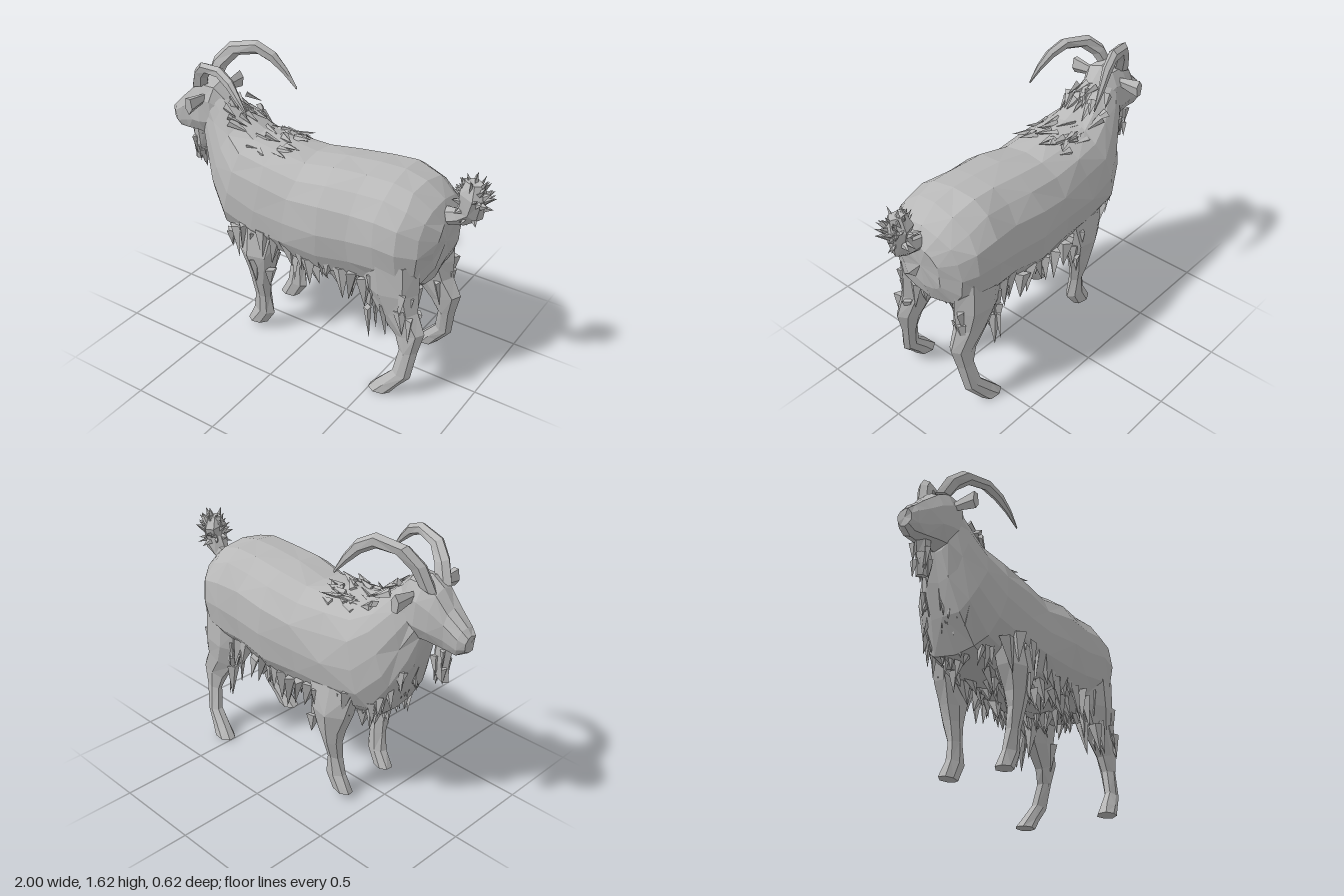
import * as THREE from 'three';
import { mergeGeometries } from 'three/addons/utils/BufferGeometryUtils.js';

export function createModel() {
  const goat = new THREE.Group();
  goat.name = 'goat';
  const coat = new THREE.MeshStandardMaterial({ color: 0xb8b8b8, flatShading: true });
  coat.name = 'grey coat';

  let seed = 7;
  const rnd = () => (seed = (seed * 16807) % 2147483647) / 2147483647;
  const span = (a, b) => a + (b - a) * rnd();
  const V = (x, y, z) => new THREE.Vector3(x, y, z);

  function add(name, geometry) {
    const mesh = new THREE.Mesh(geometry, coat);
    mesh.name = name;
    goat.add(mesh);
    return mesh;
  }

  // Skin over rings; a ring is [x1, y1, x2, y2, halfWidth, z] : two opposite points and a width in z
  function loft(rings, sides, jitter = 0, power = 1) {
    const pos = [], idx = [];
    const round = t => Math.sign(t) * Math.abs(t) ** power;
    for (const [x1, y1, x2, y2, w, z = 0] of rings) {
      for (let j = 0; j < sides; j++) {
        const a = j / sides * Math.PI * 2, c = round(Math.cos(a)) / 2, s = round(Math.sin(a));
        pos.push((x1 + x2) / 2 + (x1 - x2) * c + span(-jitter, jitter),
          (y1 + y2) / 2 + (y1 - y2) * c + span(-jitter, jitter) * 0.6,
          z + w * s + span(-jitter, jitter) * 0.6);
      }
    }
    const n = rings.length;
    for (let i = 0; i < n - 1; i++) {
      for (let j = 0; j < sides; j++) {
        const k = (j + 1) % sides, a = i * sides + j, b = i * sides + k, c = a + sides, d = b + sides;
        if ((i + j) % 2) idx.push(a, b, c, b, d, c);
        else idx.push(a, b, d, a, d, c);
      }
    }
    // End caps
    for (const [ring, flip] of [[0, true], [n - 1, false]]) {
      const [x1, y1, x2, y2, , z = 0] = rings[ring], m = pos.length / 3;
      pos.push((x1 + x2) / 2, (y1 + y2) / 2, z);
      for (let j = 0; j < sides; j++) {
        const a = ring * sides + j, b = ring * sides + (j + 1) % sides;
        if (flip) idx.push(m, b, a); else idx.push(m, a, b);
      }
    }
    const g = new THREE.BufferGeometry();
    g.setAttribute('position', new THREE.Float32BufferAttribute(pos, 3));
    g.setIndex(idx);
    g.computeVertexNormals();
    return g;
  }

  // One pointed lock of hair, growing from p along d
  function lock(p, d, length, width) {
    const g = new THREE.ConeGeometry(width, length, 4, 1);
    g.scale(1, 1, 0.55);
    g.rotateY(span(0, Math.PI));
    g.translate(0, length * 0.4, 0);
    g.applyQuaternion(new THREE.Quaternion().setFromUnitVectors(V(0, 1, 0), d.clone().normalize()));
    return g.translate(p.x, p.y, p.z);
  }
  const fur = (name, count, make) => add(name, mergeGeometries(Array.from({ length: count }, (_, i) => make(i))));

  // Neck and trunk
  add('body', loft([
    [-0.68, 1.41, -0.75, 1.07, 0.1], [-0.58, 1.34, -0.71, 0.92, 0.14],
    [-0.48, 1.24, -0.65, 0.75, 0.2], [-0.37, 1.195, -0.55, 0.58, 0.255],
    [-0.2, 1.18, -0.33, 0.53, 0.272], [-0.02, 1.165, -0.1, 0.53, 0.285],
    [0.18, 1.2, 0.14, 0.53, 0.305], [0.36, 1.215, 0.34, 0.56, 0.295],
    [0.52, 1.225, 0.5, 0.59, 0.308], [0.64, 1.185, 0.63, 0.6, 0.295],
    [0.73, 1.11, 0.71, 0.64, 0.24], [0.785, 1.02, 0.745, 0.74, 0.14],
  ], 16, 0.012, 0.85));

  // Head, nose to nape
  add('head', loft([
    [-0.995, 1.19, -0.985, 1.1, 0.04], [-0.97, 1.225, -0.94, 1.07, 0.06],
    [-0.89, 1.3, -0.87, 1.07, 0.075], [-0.82, 1.38, -0.79, 1.08, 0.105],
    [-0.75, 1.425, -0.73, 1.08, 0.12], [-0.66, 1.42, -0.66, 1.1, 0.115],
    [-0.58, 1.34, -0.6, 1.12, 0.08],
  ], 10, 0.006, 0.85));

  // Horns sweeping up, back and outward; the left one sits a little lower
  for (const side of [1, -1]) {
    const k = side > 0 ? 0.8 : 1, h = y => 1.4 + (y - 1.4) * k;
    add(side > 0 ? 'leftHorn' : 'rightHorn', loft([
      [-0.82, 1.36, -0.71, 1.39, 0.035, 0.055], [-0.77, 1.5, -0.685, 1.46, 0.036, 0.085],
      [-0.69, 1.59, -0.63, 1.525, 0.034, 0.125], [-0.53, 1.62, -0.53, 1.54, 0.03, 0.165],
      [-0.43, 1.565, -0.46, 1.5, 0.026, 0.19], [-0.365, 1.475, -0.395, 1.44, 0.016, 0.21],
      [-0.31, 1.375, -0.315, 1.36, 0.003, 0.222],
    ].map(([a, b, c, d, w, z]) => [a, h(b), c, h(d), w, z * side]), 6));

    // Ears, narrow at the root and broad at the end
    const ear = new THREE.CylinderGeometry(0.052, 0.022, 0.15, 5);
    ear.scale(0.5, 1, 1);
    ear.rotateX(side * Math.PI / 2);
    add(side > 0 ? 'leftEar' : 'rightEar', ear).position.set(-0.71, 1.33, side * 0.15);

    // Front legs, shoulder to hoof
    add(side > 0 ? 'leftFrontLeg' : 'rightFrontLeg', loft([
      [-0.1, 0.72, -0.46, 0.72, 0.07, 0.185], [-0.15, 0.55, -0.41, 0.55, 0.085, 0.195],
      [-0.19, 0.43, -0.36, 0.43, 0.062, 0.195], [-0.215, 0.35, -0.335, 0.35, 0.05, 0.19],
      [-0.235, 0.24, -0.325, 0.24, 0.038, 0.175], [-0.22, 0.12, -0.345, 0.13, 0.04, 0.165],
      [-0.27, 0.03, -0.4, 0.03, 0.044, 0.165],
    ].map(r => [...r.slice(0, 5), r[5] * side]), 7, 0.007));

    // Hind legs, thigh to hoof
    add(side > 0 ? 'leftHindLeg' : 'rightHindLeg', loft([
      [0.73, 0.82, 0.38, 0.8, 0.1, 0.19], [0.73, 0.64, 0.42, 0.62, 0.1, 0.19],
      [0.73, 0.53, 0.5, 0.48, 0.07, 0.195], [0.775, 0.42, 0.61, 0.36, 0.05, 0.2],
      [0.745, 0.29, 0.645, 0.28, 0.04, 0.21], [0.725, 0.13, 0.62, 0.15, 0.038, 0.235],
      [0.66, 0.05, 0.54, 0.06, 0.044, 0.25], [0.62, 0, 0.49, 0, 0.052, 0.26],
    ].map(r => [...r.slice(0, 5), r[5] * side]), 7, 0.005));

    const tag = side > 0 ? 'left' : 'right';
    // Hair above the knees and hocks, and along the flanks
    fur(tag + 'ElbowFur', 8, () => lock(V(span(-0.36, -0.17), span(0.46, 0.56), side * span(0.14, 0.26)),
      V(span(-0.2, 0.3), -1, side * 0.1), span(0.1, 0.15), 0.04));
    fur(tag + 'ThighFur', 16, i => lock(V(i < 8 ? span(0.44, 0.55) : span(0.64, 0.72), span(0.48, 0.68), side * span(0.13, 0.26)),
      V(span(-0.1, 0.2), -1, side * 0.1), span(0.13, 0.2), 0.038));
    fur(tag + 'FlankFur', 14, i => lock(V(-0.42 + i * 0.07, span(0.62, 0.72), side * span(0.22, 0.25)),
      V(span(-0.2, 0.3), -1, side * 0.08), span(0.14, 0.2), 0.05));
  }

  // Ragged fringes below the trunk
  fur('bellyFur', 60, () => lock(V(span(-0.45, 0.36), span(0.55, 0.6), span(-0.2, 0.2)),
    V(span(-0.2, 0.7), -1, span(-0.3, 0.3)), span(0.1, 0.15), 0.045));
  fur('groinFur', 16, () => lock(V(span(0.4, 0.7), span(0.6, 0.68), span(-0.13, 0.13)),
    V(span(-0.2, 0.2), -1, span(-0.2, 0.2)), span(0.1, 0.15), 0.04));
  fur('chestFur', 34, () => {
    const t = rnd();
    return lock(V(-0.68 + t * 0.2, 0.92 - t * 0.35, span(-0.1, 0.1) * (1 + t)),
      V(span(-0.3, 0.1), -1, span(-0.2, 0.2)), span(0.09, 0.14), 0.035);
  });

  // Mane lying back over the withers
  fur('maneFur', 50, () => {
    const x = span(-0.58, -0.16), z = span(-0.15, 0.15);
    const y = (x < -0.46 ? 1.24 + (-0.46 - x) * 0.85 : 1.185) - z * z * 2.2;
    return lock(V(x, y, z), V(1, x < -0.46 ? -0.5 : 0.12, span(-0.7, 0.7)), span(0.08, 0.13), 0.028);
  });

  // Beard
  add('beard', loft([[-0.79, 1.1, -0.89, 1.1, 0.04], [-0.785, 0.99, -0.88, 0.99, 0.04],
    [-0.8, 0.9, -0.87, 0.88, 0.025]], 6, 0.008));
  fur('beardFur', 14, () => lock(V(span(-0.87, -0.8), span(0.94, 1.07), span(-0.04, 0.04)),
    V(span(-0.1, 0.1), -1, span(-0.1, 0.1)), span(0.08, 0.12), 0.025));

  // Tail stem and bushy tuft
  add('tail', loft([[0.73, 1.08, 0.75, 0.98, 0.04], [0.81, 1.09, 0.85, 1.0, 0.035],
    [0.82, 1.15, 0.93, 1.05, 0.05], [0.81, 1.21, 0.96, 1.17, 0.065],
    [0.83, 1.26, 0.94, 1.25, 0.035]], 7, 0.012));
  fur('tailFur', 44, () => {
    const a = span(0, Math.PI * 2), u = span(-1, 1), s = Math.sqrt(1 - u * u);
    const d = V(s * Math.cos(a), u, s * Math.sin(a));
    return lock(V(0.89 + d.x * 0.05, 1.155 + d.y * 0.08, d.z * 0.04),
      d.clone().add(V(0.1, 0.35, 0)), span(0.06, 0.085), 0.028);
  });

  return goat;
}
